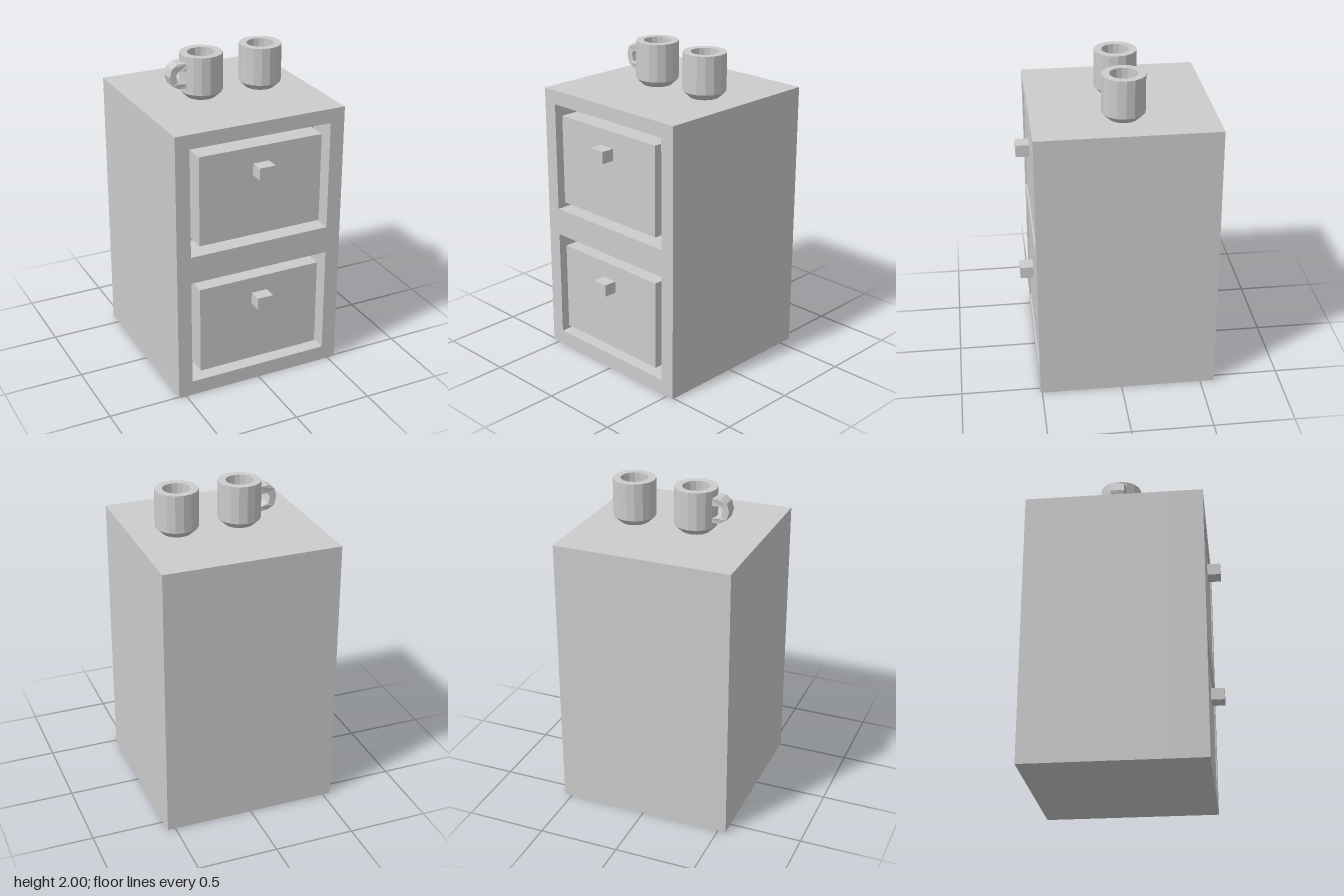
import * as THREE from 'three';

export function createModel() {
  const model = new THREE.Group();
  const grey = new THREE.MeshStandardMaterial({ color: 0xcccccc, flatShading: true });
  grey.name = 'plain grey';

  function add(name, geometry, parent = model) {
    const mesh = new THREE.Mesh(geometry, grey);
    mesh.name = name;
    parent.add(mesh);
    return mesh;
  }

  // Box given by its minimum and maximum corners
  function addBox(name, [x0, y0, z0], [x1, y1, z1], parent) {
    const mesh = add(name, new THREE.BoxGeometry(x1 - x0, y1 - y0, z1 - z0), parent);
    mesh.position.set((x0 + x1) / 2, (y0 + y1) / 2, (z0 + z1) / 2);
  }

  const polygon = (pts, Type = THREE.Shape) => new Type(pts.map(([x, y]) => new THREE.Vector2(x, y)));
  const rect = (x0, y0, x1, y1) => [[x0, y0], [x1, y0], [x1, y1], [x0, y1]];

  // Cabinet: solid body with a front frame that has two drawer openings
  const front = 0.51, back = -0.588, top = 1.727, recess = 0.2;
  const bottoms = [0.095, 0.953];
  const frame = polygon(rect(-0.549, 0, 0.549, top));
  for (const y of bottoms) {
    frame.holes.push(polygon(rect(-0.459, y, 0.456, y + 0.685).reverse(), THREE.Path));
  }
  const frameGeo = new THREE.ExtrudeGeometry(frame, { depth: recess, bevelEnabled: false });
  add('frontFrame', frameGeo.translate(0, 0, front - recess));
  addBox('cabinetBody', [-0.549, 0, back], [0.549, top, front - recess]);

  // Drawers with square knobs
  bottoms.forEach((y, i) => {
    const drawer = new THREE.Group();
    drawer.name = i ? 'upperDrawer' : 'lowerDrawer';
    addBox('drawerFront', [-0.4, y + 0.06, front - recess], [0.4, y + 0.624, front - 0.005], drawer);
    addBox('knob', [-0.053, y + 0.446, front - 0.01], [0.05, y + 0.521, 0.588], drawer);
    model.add(drawer);
  });

  // Mugs: faceted walls, chamfered foot and hollow inside
  const profile = [[0, 0], [0.09, 0], [0.131, 0.04], [0.131, 0.273], [0.084, 0.273], [0.084, 0.045], [0, 0.045]];
  const mugGeo = new THREE.LatheGeometry(profile.map(([x, y]) => new THREE.Vector2(x, y)), 16);
  const [handledMug] = [['handledMug', -0.127], ['plainMug', 0.27]].map(([name, x]) => {
    const mug = new THREE.Group();
    mug.name = name;
    mug.position.set(x, top, -0.04);
    add('mugBody', mugGeo, mug);
    model.add(mug);
    return mug;
  });

  // Handle: flat loop that widens where it meets the mug
  const loop = polygon([
    [-0.108, 0.075], [-0.165, 0.075], [-0.208, 0.1], [-0.223, 0.153],
    [-0.208, 0.205], [-0.172, 0.23], [-0.108, 0.23],
    [-0.108, 0.182], [-0.135, 0.182], [-0.166, 0.182], [-0.183, 0.16],
    [-0.172, 0.116], [-0.135, 0.105], [-0.108, 0.1],
  ]);
  const handleGeo = new THREE.ExtrudeGeometry(loop, { depth: 0.084, bevelEnabled: false }).translate(0, 0, -0.042);
  const pos = handleGeo.attributes.position;
  for (let i = 0; i < pos.count; i++) {
    if (pos.getX(i) > -0.15) pos.setZ(i, pos.getZ(i) * 1.24);
  }
  handleGeo.computeVertexNormals();
  add('mugHandle', handleGeo, handledMug);

  return model;
}
